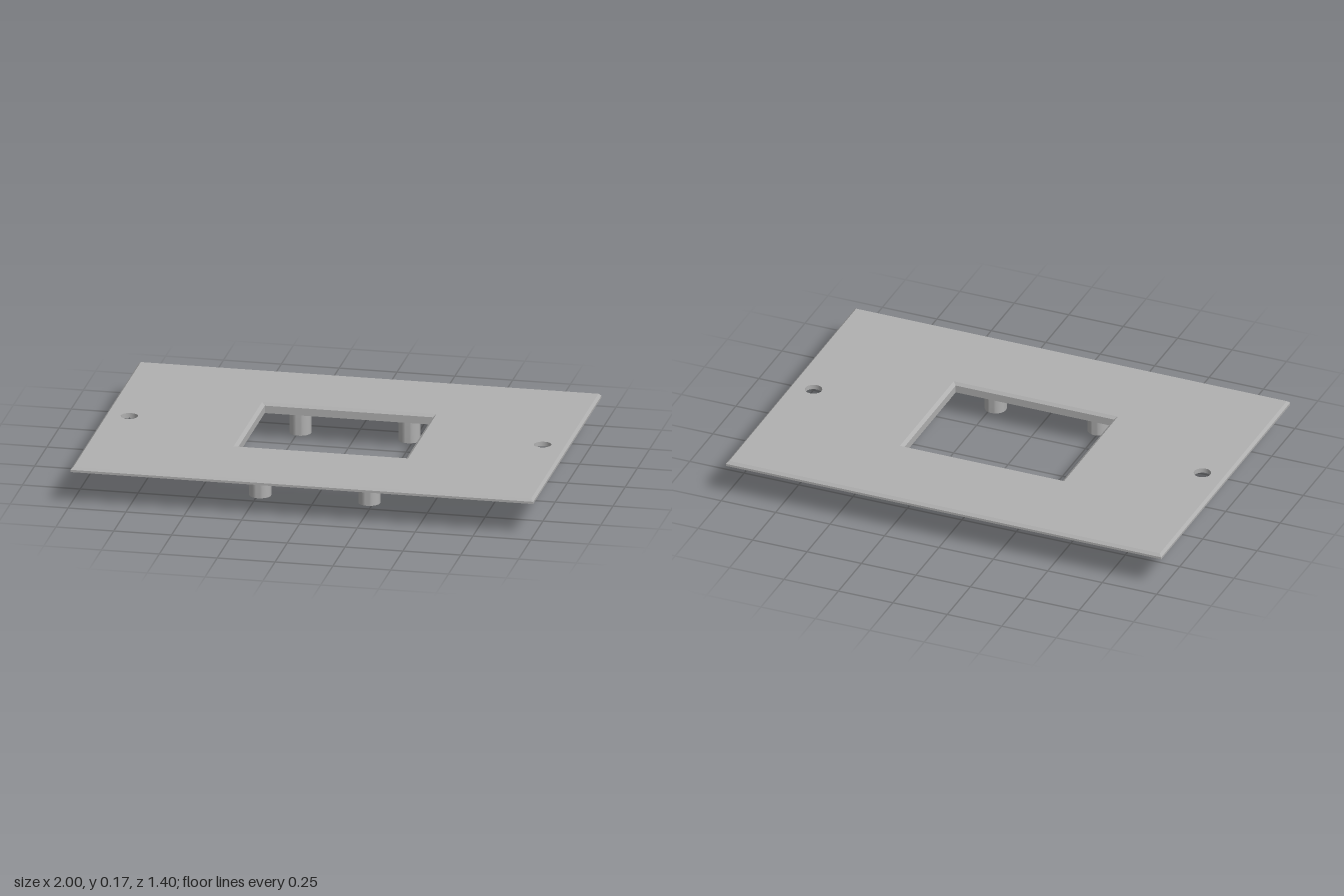
import * as THREE from 'three';
import { mergeGeometries, toCreasedNormals } from 'three/addons/utils/BufferGeometryUtils.js';

const TOP = 0.165, BOTTOM = 0.144, CHAMFER = 0.011;
const WINDOW_X = -0.004, HOLE_X = 0.893, HOLE_R = 0.037;

// Flat-sided band through rectangles [halfX, halfZ, y]; rising sections face outward
function rectLoft(sections, cx = 0) {
  const signs = [[1, 1], [1, -1], [-1, -1], [-1, 1]];
  const pos = [];
  const corner = ([hx, hz, y], i) => [cx + signs[i % 4][0] * hx, y, signs[i % 4][1] * hz];
  for (let s = 0; s < sections.length - 1; s++) {
    for (let i = 0; i < 4; i++) {
      const a = corner(sections[s], i), b = corner(sections[s], i + 1);
      const c = corner(sections[s + 1], i + 1), d = corner(sections[s + 1], i);
      pos.push(...a, ...b, ...c, ...a, ...c, ...d);
    }
  }
  const geo = new THREE.BufferGeometry();
  geo.setAttribute('position', new THREE.Float32BufferAttribute(pos, 3));
  geo.computeVertexNormals();
  return geo;
}

function rectPath(path, hx, hz, cx = 0) {
  return path.moveTo(cx - hx, -hz).lineTo(cx + hx, -hz).lineTo(cx + hx, hz).lineTo(cx - hx, hz).closePath();
}

// One face of the plate with the window and the two screw holes
function plateFace(hx, hz, winX, winZ, y, up) {
  const shape = rectPath(new THREE.Shape(), hx, hz);
  shape.holes.push(rectPath(new THREE.Path(), winX, winZ, WINDOW_X));
  for (const s of [-1, 1]) {
    shape.holes.push(new THREE.Path().absarc(s * HOLE_X, 0, HOLE_R, 0, Math.PI * 2, true));
  }
  return new THREE.ShapeGeometry(shape, 16).rotateX(up ? -Math.PI / 2 : Math.PI / 2).translate(0, y, 0);
}

// Hollow round post with a blind bore, open at the bottom
function postGeometry(radius, bore, y0) {
  const profile = [[0, BOTTOM - 0.002], [bore, BOTTOM - 0.002], [bore, y0], [radius, y0], [radius, BOTTOM]];
  const lathe = new THREE.LatheGeometry(profile.map(([r, y]) => new THREE.Vector2(r, y)), 32);
  return toCreasedNormals(lathe, 0.6);
}

export function createModel() {
  const group = new THREE.Group();
  const grey = new THREE.MeshStandardMaterial({ color: 0xb0b0b0 });
  grey.name = 'plain grey';
  const add = (name, geo, x = 0, z = 0) => {
    const mesh = new THREE.Mesh(geo, grey);
    mesh.name = name;
    mesh.position.set(x, 0, z);
    group.add(mesh);
  };

  // Plate with a chamfered upper edge
  const faces = mergeGeometries([
    plateFace(1 - CHAMFER, 0.7 - CHAMFER, 0.377, 0.292, TOP, true),
    plateFace(1, 0.7, 0.377, 0.292, BOTTOM, false),
  ]);
  add('plateFaces', faces);
  add('plateEdge', rectLoft([
    [1, 0.7, BOTTOM], [1, 0.7, TOP - CHAMFER], [1 - CHAMFER, 0.7 - CHAMFER, TOP],
  ]));

  // Window frame: sloped lip, inner wall and rim below the plate
  add('windowFrame', rectLoft([
    [0.377, 0.292, TOP], [0.363, 0.281, TOP - 0.012], [0.363, 0.281, 0.12],
    [0.377, 0.292, 0.12], [0.377, 0.292, BOTTOM],
  ], WINDOW_X));

  // Screw hole walls, facing inward
  const wall = new THREE.LatheGeometry(
    [new THREE.Vector2(HOLE_R, TOP), new THREE.Vector2(HOLE_R, BOTTOM)], 32);
  for (const s of [-1, 1]) add('screwHole', wall, s * HOLE_X);

  // Tall and short mounting posts
  const tall = postGeometry(0.047, 0.023, 0);
  const short = postGeometry(0.043, 0.023, 0.09);
  for (const z of [-1, 1]) {
    for (const x of [-0.24, 0.232]) add('tallPost', tall, x, z * 0.412 + 0.003);
    for (const x of [-0.498, 0.42]) add('shortPost', short, x, z * 0.248 + 0.002);
  }
  return group;
}
